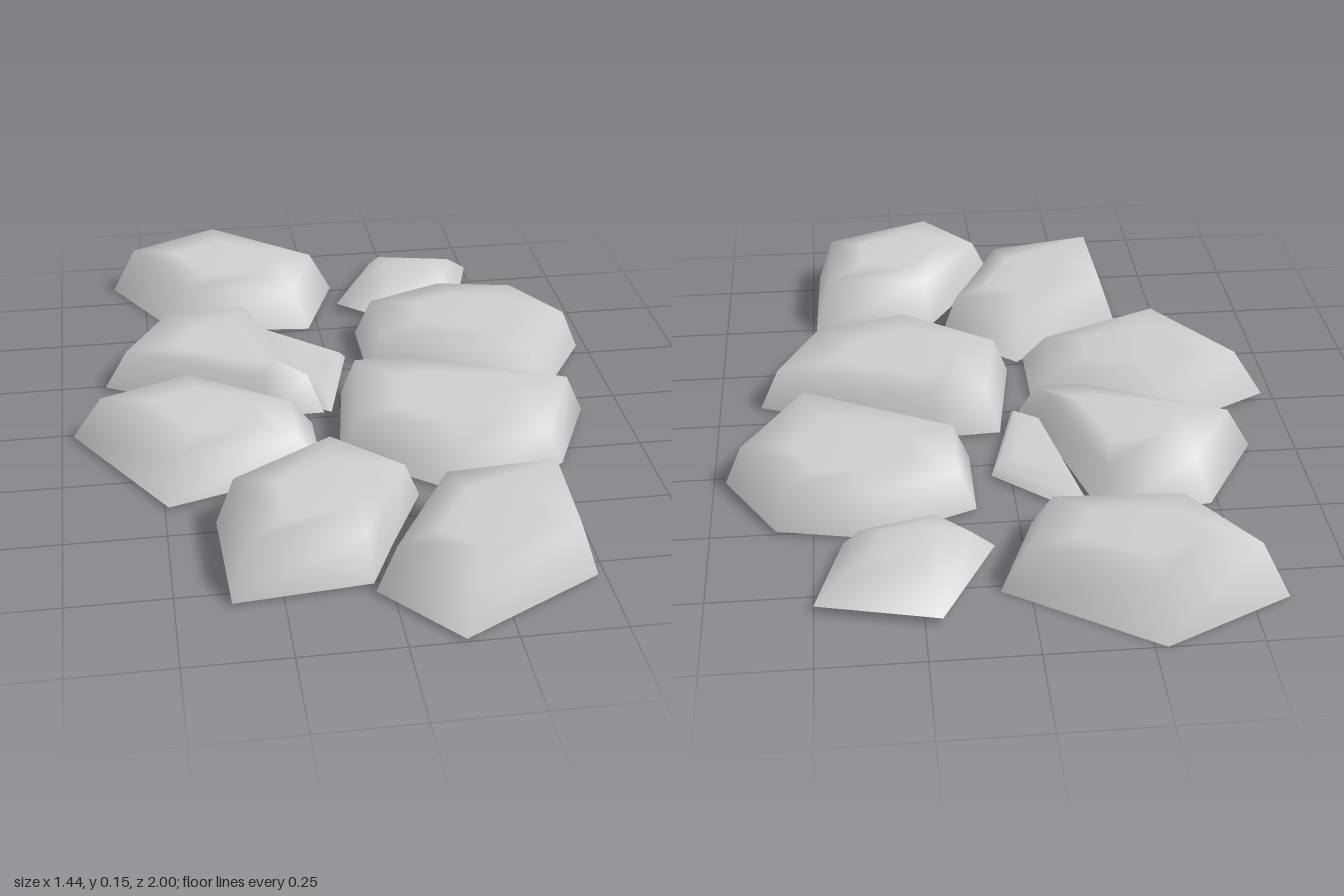
import * as THREE from 'three';

const stoneGrey = new THREE.MeshStandardMaterial({ color: 0xcccccc });
stoneGrey.name = 'stoneGrey';

// A stone rises from its base outline to a smaller, tilted rim, then swells to a low crown.
// Sides and top share smooth normals; the underside is a separate flat fan.
function makeStone(name, outline, { foot = 0.008, height, rim, tiltX = 0, tiltZ = 0, crown = 0.01 }) {
  const n = outline.length;
  const cx = outline.reduce((s, p) => s + p[0], 0) / n;
  const cz = outline.reduce((s, p) => s + p[1], 0) / n;
  const pos = [];
  const index = [];

  const addRing = (scale, heightAt) => outline.forEach(([x, z]) => {
    const dx = (x - cx) * scale;
    const dz = (z - cz) * scale;
    pos.push(cx + dx, heightAt(dx, dz), cz + dz);
  });
  const topAt = lift => (dx, dz) => height + lift + tiltX * dx + tiltZ * dz;

  addRing(1, () => foot);
  addRing(rim, topAt(0));
  addRing(rim * 0.55, topAt(crown * 0.8));
  pos.push(cx, height + crown, cz);
  addRing(1, () => foot);

  for (let i = 0; i < n; i++) {
    const j = (i + 1) % n;
    for (const r of [0, n]) {
      index.push(r + i, r + n + i, r + j, r + j, r + n + i, r + n + j);
    }
    index.push(2 * n + i, 3 * n, 2 * n + j);
  }
  const under = 3 * n + 1;
  for (let i = 1; i < n - 1; i++) index.push(under, under + i, under + i + 1);

  const geometry = new THREE.BufferGeometry();
  geometry.setAttribute('position', new THREE.Float32BufferAttribute(pos, 3));
  geometry.setIndex(index);
  geometry.computeVertexNormals();
  const mesh = new THREE.Mesh(geometry, stoneGrey);
  mesh.name = name;
  return mesh;
}

export function createModel() {
  const group = new THREE.Group();
  group.name = 'steppingStones';

  // Back row
  group.add(makeStone('backLeftStone',
    [[-0.28, -1], [0.07, -0.77], [-0.03, -0.51], [-0.42, -0.55], [-0.59, -0.85]],
    { foot: 0, height: 0.125, rim: 0.8, tiltX: -0.03, tiltZ: -0.07 }));
  group.add(makeStone('smallBackStone',
    [[0.21, -0.88], [0.5, -0.81], [0.43, -0.58], [0.18, -0.52], [0.07, -0.62]],
    { foot: 0.02, height: 0.075, rim: 0.72, tiltZ: 0.05, crown: 0.025 }));

  // Rear middle row, with a low chipped ledge beside the left stone
  group.add(makeStone('rightRearStone',
    [[0.1, -0.45], [0.35, -0.55], [0.59, -0.5], [0.72, -0.28], [0.54, 0.01], [0.1, -0.22]],
    { height: 0.117, rim: 0.86 }));
  group.add(makeStone('leftRearStone',
    [[-0.48, -0.48], [-0.21, -0.51], [-0.09, -0.07], [-0.05, -0.01], [-0.2, -0.01], [-0.63, -0.23]],
    { height: 0.112, rim: 0.82, tiltX: -0.02, tiltZ: -0.02 }));
  group.add(makeStone('chippedLedge',
    [[-0.19, -0.52], [0.05, -0.31], [-0.03, -0.01], [-0.1, -0.06]],
    { height: 0.03, rim: 0.85, crown: 0 }));

  // Front middle row
  group.add(makeStone('leftMiddleStone',
    [[-0.72, 0.02], [-0.42, -0.14], [-0.09, 0.04], [-0.09, 0.27], [-0.49, 0.39]],
    { height: 0.108, rim: 0.78, tiltX: -0.08, crown: 0.015 }));
  group.add(makeStone('rightMiddleStone',
    [[0.01, -0.11], [0.18, -0.12], [0.64, 0.07], [0.52, 0.33], [0.24, 0.43], [-0.04, 0.21]],
    { height: 0.113, rim: 0.87, tiltZ: -0.05 }));

  // Front row
  group.add(makeStone('frontLeftStone',
    [[-0.07, 0.25], [0.13, 0.42], [0.03, 0.62], [-0.04, 0.77], [-0.37, 0.8], [-0.38, 0.47]],
    { height: 0.126, rim: 0.83, tiltX: -0.06 }));
  group.add(makeStone('frontRightStone',
    [[0.16, 0.48], [0.49, 0.48], [0.48, 0.81], [0.13, 1], [-0.04, 0.8]],
    { height: 0.133, rim: 0.82, tiltX: 0.05, tiltZ: -0.03 }));

  return group;
}
